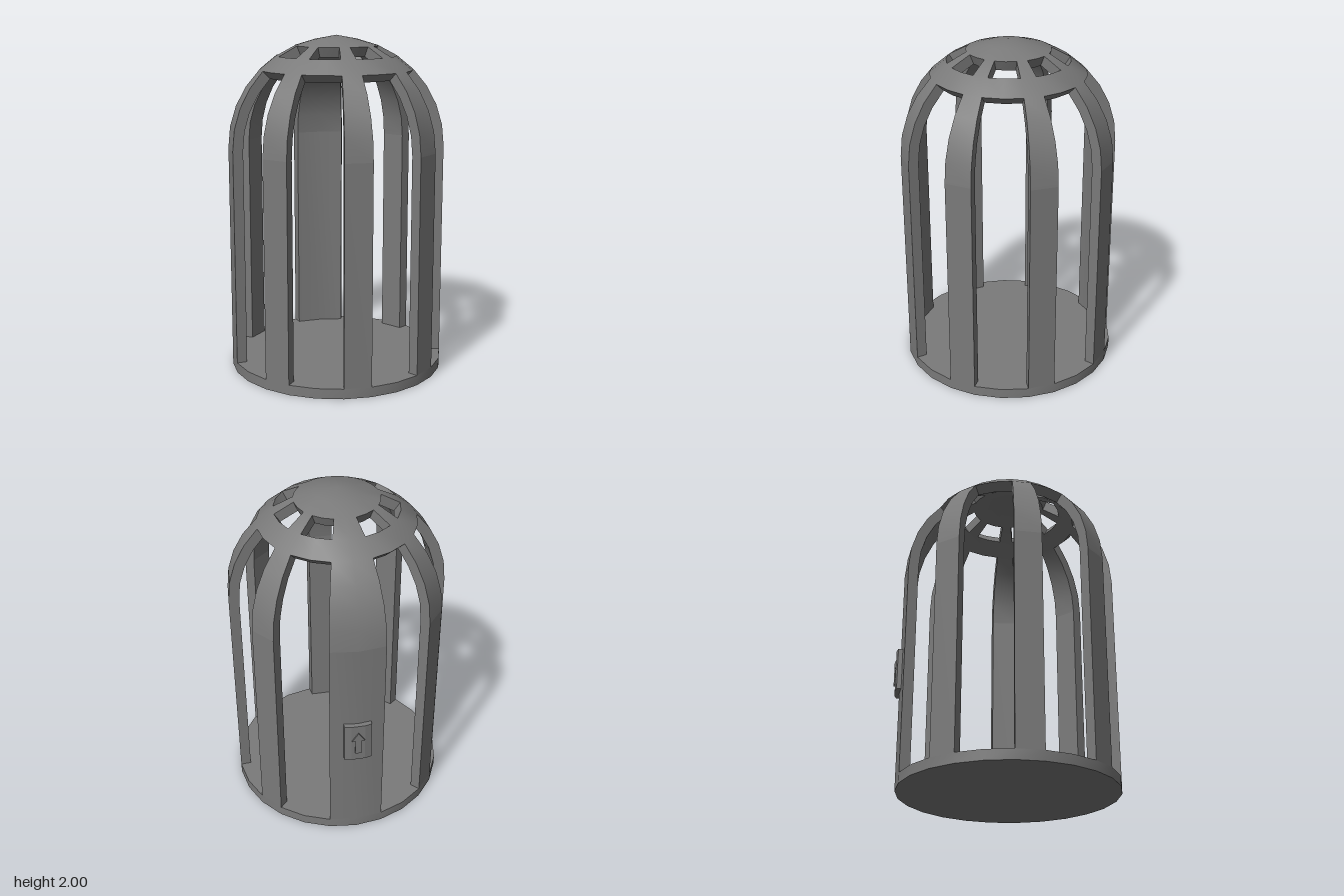
import * as THREE from 'three';
import { toCreasedNormals } from 'three/addons/utils/BufferGeometryUtils.js';

const SIDES = 25, R = 0.642, R_IN = 0.58, FLOOR = 0.06, SPRING = 1.347;
const STEP = (Math.PI * 2) / SIDES, START = -Math.PI / 2;
const CENTRE_Z = 0.01;

// Profile rows [radius, height] from the floor up to the crown
function makeProfile(radius, crown) {
  const rows = [[radius, FLOOR]];
  for (let i = 0; i < 8; i++) {
    const a = (i / 8) * Math.PI / 2;
    rows.push([radius * Math.cos(a), SPRING + radius * Math.sin(a)]);
  }
  rows.push([0, crown]);
  return rows;
}
const outer = makeProfile(R, 2), inner = makeProfile(R_IN, 1.932);
const LAST = outer.length - 2;

// Openings: tall gaps up to the dome ring, and vents in one row of the dome
function isSolid(row, col) {
  const c = (col + SIDES) % SIDES;
  const gapColumn = c >= 2 && (c - 2) % 3 < 2;
  const gapRow = row <= 4 || row === 6;
  return row < 0 || row > LAST || !(gapColumn && gapRow);
}

function point(profile, row, col) {
  const a = START + (col % SIDES) * STEP, [r, y] = profile[row];
  return new THREE.Vector3(r * Math.cos(a), y, r * Math.sin(a));
}

// Thick shell from a grid of cells, with walls wherever a cell meets an opening
function shellGeometry(from, to) {
  const pos = [];
  const tri = (a, b, c) => {
    const n = b.clone().sub(a).cross(c.clone().sub(a));
    if (n.length() > 1e-9) for (const p of [a, b, c]) pos.push(p.x, p.y, p.z);
  };
  const quad = (a, b, c, d) => { tri(a, b, c); tri(a, c, d); };
  for (let i = from; i <= to; i++) {
    for (let k = 0; k < SIDES; k++) {
      if (!isSolid(i, k)) continue;
      const corners = [[i, k], [i + 1, k], [i + 1, k + 1], [i, k + 1]];
      const o = corners.map(([r, c]) => point(outer, r, c));
      const n = corners.map(([r, c]) => point(inner, r, c));
      quad(...o);
      quad(n[3], n[2], n[1], n[0]);
      const neighbours = [[i, k - 1], [i + 1, k], [i, k + 1], [i - 1, k]];
      neighbours.forEach(([r, c], e) => {
        const f = (e + 1) % 4;
        if (!isSolid(r, c)) quad(o[f], o[e], n[e], n[f]);
      });
    }
  }
  const g = new THREE.BufferGeometry();
  g.setAttribute('position', new THREE.Float32BufferAttribute(pos, 3));
  return toCreasedNormals(g, 0.5);
}

export function createModel() {
  const grey = new THREE.MeshStandardMaterial({ color: 0x7a7a7a });
  grey.name = 'grey';
  const model = new THREE.Group();
  model.name = 'domedCage';
  const add = (name, geometry, parent = model) => {
    const m = new THREE.Mesh(geometry, grey);
    m.name = name;
    parent.add(m);
    return m;
  };

  // Solid floor disc
  const floor = new THREE.CylinderGeometry(R, R, FLOOR, SIDES, 1, false, Math.PI);
  floor.translate(0, FLOOR / 2, 0);
  add('floor', toCreasedNormals(floor, 0.5));

  // Upright bars and the vented dome above them
  add('uprightBars', shellGeometry(0, 0));
  add('dome', shellGeometry(1, LAST));

  // Curved plate with a raised arrow on the middle of the wide bar
  const badge = new THREE.Group();
  badge.name = 'arrowPlate';
  const mid = START + STEP;
  badge.rotation.y = Math.PI / 2 - mid;
  model.add(badge);

  const section = new THREE.Shape([
    [-0.08, -0.6], [0.08, -0.6], [0.08, -0.658], [0.04, -0.668],
    [-0.04, -0.668], [-0.08, -0.658],
  ].map(([x, y]) => new THREE.Vector2(x, y)));
  const plate = new THREE.ExtrudeGeometry(section, { depth: 0.25, bevelEnabled: false });
  plate.rotateX(-Math.PI / 2);
  plate.translate(0, 0.583, 0);
  add('plate', plate, badge);

  const arrowShape = new THREE.Shape([
    [-0.018, -0.075], [0.018, -0.075], [0.018, 0.02], [0.038, 0.02],
    [0, 0.075], [-0.038, 0.02], [-0.018, 0.02],
  ].map(([x, y]) => new THREE.Vector2(x, y)));
  const arrow = new THREE.ExtrudeGeometry(arrowShape, { depth: 0.012, bevelEnabled: false });
  arrow.translate(0, 0.71, 0.664);
  add('arrow', arrow, badge);

  model.position.z = CENTRE_Z;
  const root = new THREE.Group();
  root.name = 'model';
  root.add(model);
  return root;
}
